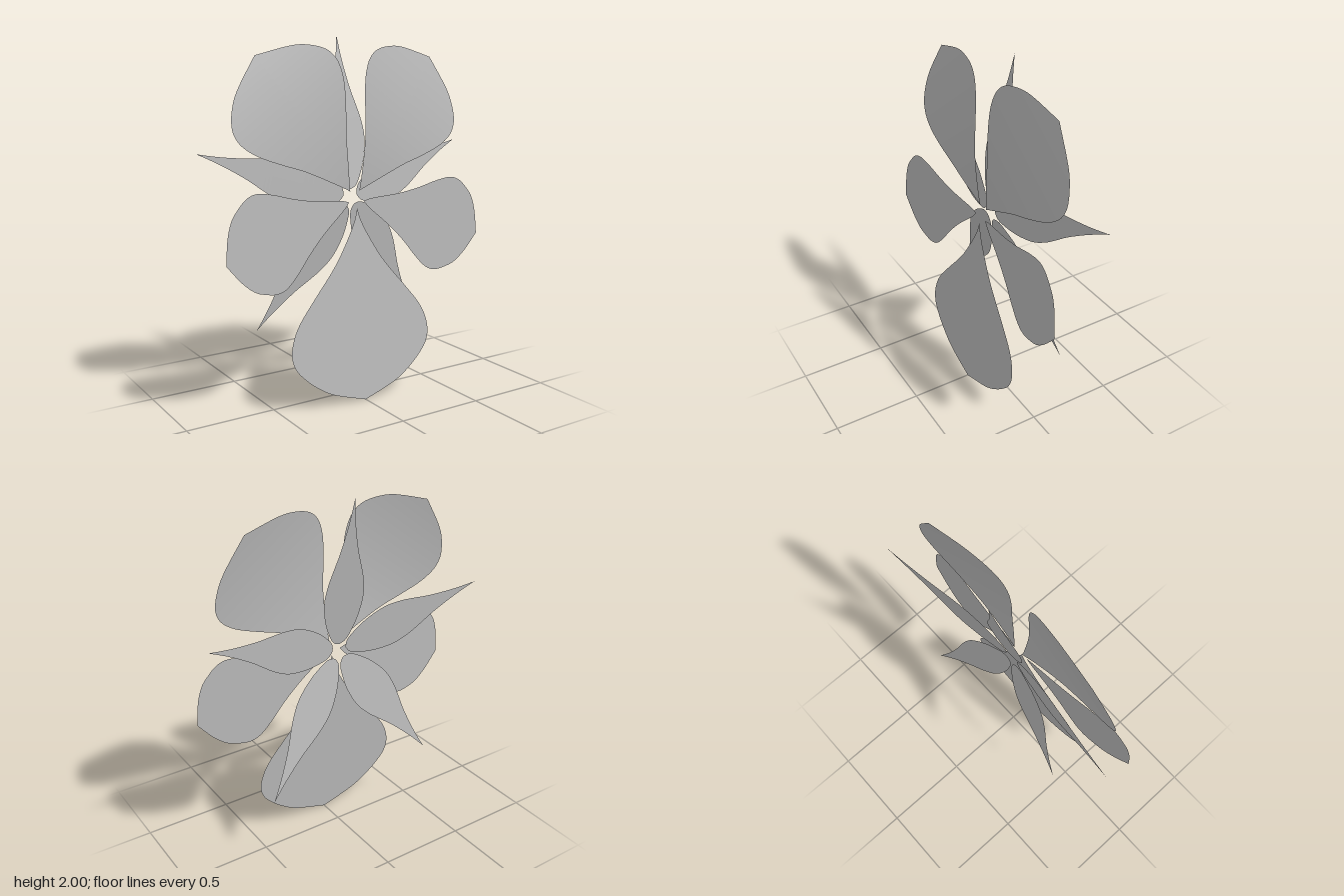
import * as THREE from 'three';

const CENTRE_Y = 1.12;

// Half outlines: [distance from flower centre, half width]
const UPPER = [[0.05, 0], [0.12, 0.038], [0.31, 0.15], [0.43, 0.237], [0.53, 0.305], [0.6, 0.34],
  [0.67, 0.356], [0.74, 0.34], [0.81, 0.28], [0.87, 0.19], [0.945, 0]];
const SIDE = [[0.05, 0], [0.1, 0.03], [0.25, 0.093], [0.37, 0.157], [0.47, 0.222], [0.56, 0.268],
  [0.63, 0.27], [0.7, 0.235], [0.75, 0.195], [0.8, 0.118], [0.85, 0]];
const LOWER = [[0.05, 0], [0.15, 0.035], [0.34, 0.15], [0.517, 0.3], [0.62, 0.385], [0.7, 0.43],
  [0.787, 0.45], [0.86, 0.435], [0.92, 0.39], [0.99, 0.31], [1.055, 0.2], [1.12, 0]];
const SEPAL = [[0.045, 0], [0.06, 0.035], [0.1, 0.064], [0.2, 0.105], [0.32, 0.125], [0.42, 0.112],
  [0.5, 0.088], [0.6, 0.055], [0.75, 0.02], [0.88, 0]];

// Thin blade growing along +y; depth(r) gives its lean or bend in z
function bladeGeometry(outline, depth) {
  const curve = new THREE.SplineCurve(outline.map(([r, w]) => new THREE.Vector2(r, w)));
  const rows = curve.getPoints((outline.length - 1) * 4);
  const positions = [];
  const index = [];
  rows.forEach(({ x: r, y }, i) => {
    const w = Math.max(y, 0);
    for (const s of [-1, 0, 1]) positions.push(s * w, r, depth(r));
    if (i === 0) return;
    for (let k = 0; k < 2; k++) {
      const a = (i - 1) * 3 + k;
      const b = a + 3;
      if (i > 1) index.push(a, a + 1, b + 1);
      if (i === 1) index.push(a, b + 1, b);
      else if (i < rows.length - 1) index.push(a, b + 1, b);
    }
  });
  const geometry = new THREE.BufferGeometry();
  geometry.setAttribute('position', new THREE.Float32BufferAttribute(positions, 3));
  geometry.setIndex(index);
  geometry.computeVertexNormals();
  return geometry;
}

export function createModel() {
  const flower = new THREE.Group();
  flower.name = 'flower';
  const grey = new THREE.MeshStandardMaterial({ color: 0xbbbbbb, side: THREE.DoubleSide });
  grey.name = 'plain grey';

  // Angle is measured clockwise from straight up, as seen from the front
  function addBlade(name, geometry, degrees) {
    const mesh = new THREE.Mesh(geometry, grey);
    mesh.name = name;
    mesh.position.y = CENTRE_Y;
    mesh.rotation.z = -THREE.MathUtils.degToRad(degrees);
    flower.add(mesh);
  }

  // Petals: the upper pair bends back, the others lean forward
  const upper = bladeGeometry(UPPER, (r) => 0.03 + 0.12 * r - 0.2 * r * r);
  const side = bladeGeometry(SIDE, (r) => 0.048 + 0.08 * r);
  const lower = bladeGeometry(LOWER, (r) => 0.055 + 0.085 * r);
  addBlade('upperLeftPetal', upper, 36);
  addBlade('upperRightPetal', upper, -36);
  addBlade('leftPetal', side, 108);
  addBlade('rightPetal', side, -108);
  addBlade('lowerPetal', lower, 180);

  // Five pointed sepals behind, leaning backwards
  const sepal = bladeGeometry(SEPAL, (r) => -0.005 - 0.165 * r);
  for (let i = 0; i < 5; i++) addBlade(`sepal${i + 1}`, sepal, i * 72);

  return flower;
}
